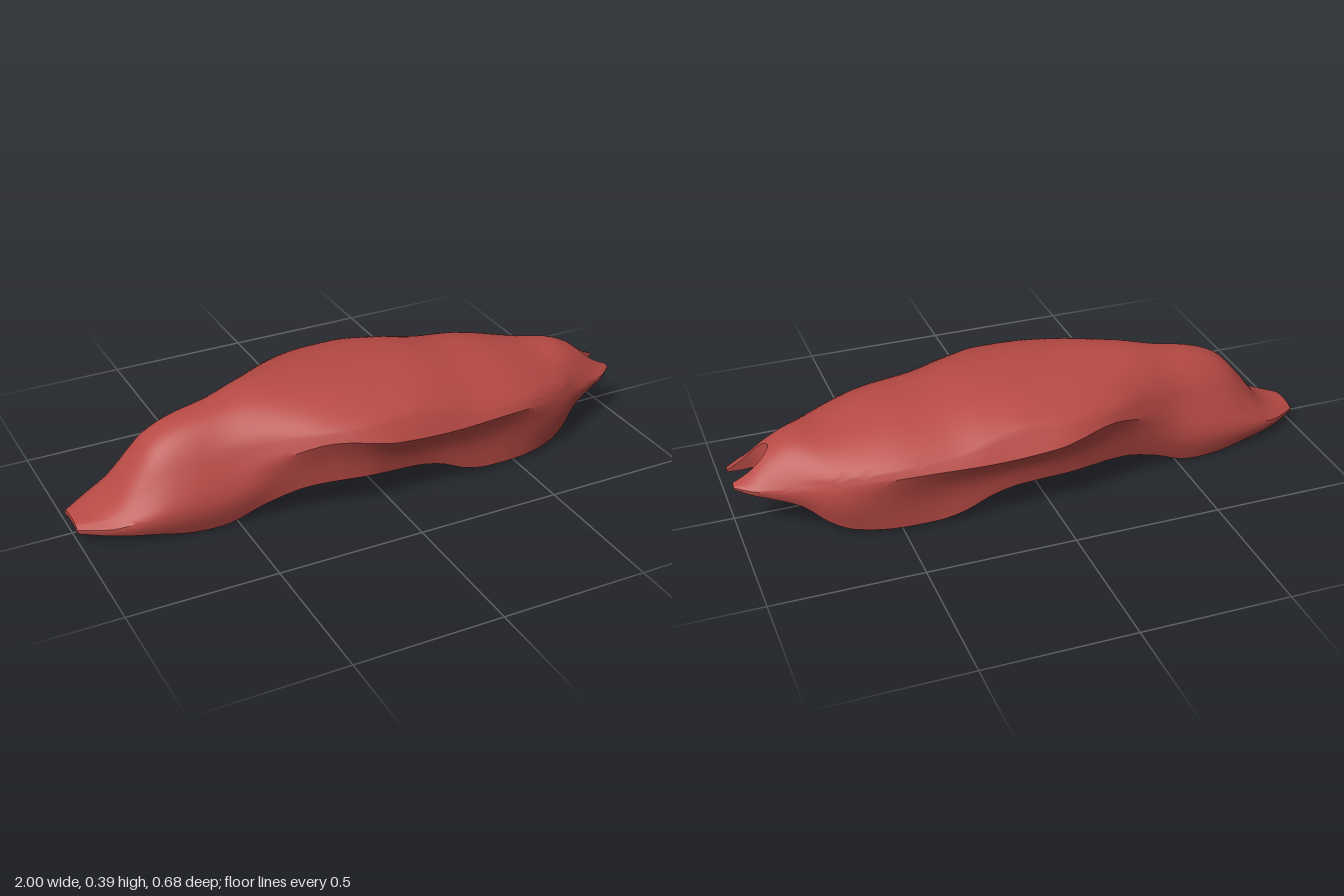
import * as THREE from 'three';
import { toCreasedNormals } from 'three/addons/utils/BufferGeometryUtils.js';

// Smooth curve through [x, value] keys (cubic Hermite)
function rail(...k) {
  const slope = i => {
    const a = k[Math.max(i - 1, 0)], b = k[Math.min(i + 1, k.length - 1)];
    return (b[1] - a[1]) / (b[0] - a[0]);
  };
  return x => {
    let i = 0;
    while (i < k.length - 2 && x > k[i + 1][0]) i++;
    const h = k[i + 1][0] - k[i][0], t = (x - k[i][0]) / h, t2 = t * t, t3 = t2 * t;
    return (2 * t3 - 3 * t2 + 1) * k[i][1] + (t3 - 2 * t2 + t) * h * slope(i)
      + (3 * t2 - 2 * t3) * k[i + 1][1] + (t3 - t2) * h * slope(i + 1);
  };
}

// Rails along the body: spine, upper crease, widest line and bottom rim
const spineY = rail([-1, .065], [-.94, .08], [-.87, .12], [-.8, .21], [-.73, .285], [-.63, .33], [-.5, .355],
  [-.35, .385], [0, .388], [.2, .38], [.35, .355], [.5, .338], [.7, .293], [.8, .285], [.88, .25], [.95, .195], [1, .166]);
const creaseZ = rail([-1, .045], [-.9, .09], [-.8, .115], [-.65, .13], [-.5, .145], [-.38, .185], [-.22, .262],
  [-.08, .292], [.1, .28], [.25, .285], [.4, .285], [.55, .265], [.7, .208], [.8, .15], [.9, .108], [.95, .09], [1, .058]);
const creaseY = rail([-1, .06], [-.9, .085], [-.8, .145], [-.7, .21], [-.55, .25], [-.4, .285], [-.22, .305],
  [0, .32], [.1, .323], [.2, .3], [.33, .262], [.5, .245], [.7, .217], [.8, .2], [.9, .18], [1, .164]);
const wideZ = rail([-1, .066], [-.9, .13], [-.8, .165], [-.7, .18], [-.5, .188], [-.4, .212], [-.25, .27],
  [-.1, .322], [0, .338], [.2, .325], [.4, .305], [.5, .29], [.6, .263], [.7, .223], [.8, .17], [.9, .125], [.95, .106], [1, .066]);
const wideY = rail([-1, .05], [-.9, .062], [-.8, .09], [-.65, .13], [-.5, .165], [-.35, .23], [-.2, .272],
  [0, .25], [.2, .23], [.5, .218], [.7, .182], [.8, .165], [.9, .158], [1, .16]);
const rimZ = rail([-1, .062], [-.9, .124], [-.8, .16], [-.6, .178], [-.45, .19], [-.3, .225], [-.1, .275],
  [0, .282], [.2, .272], [.4, .262], [.55, .25], [.7, .208], [.8, .16], [.9, .12], [.95, .101], [1, .063]);
const rimY = rail([-1, .035], [-.8, .03], [-.65, .004], [-.52, .01], [-.4, .06], [-.28, .1], [-.1, .114],
  [.1, .105], [.2, .08], [.3, .035], [.4, .016], [.65, .02], [.73, .05], [.8, .1], [.9, .13], [1, .152]);
// Hollow of the lower side (negative bulges) and height of the floor above the rim
const hollow = rail([-1, -.12], [-.5, -.12], [-.3, .02], [0, .1], [.3, .12], [.5, .04], [.7, -.1], [1, -.12]);
const floorRise = rail([-1, .012], [-.85, .025], [-.6, .041], [0, .04], [.6, .041], [.87, .032], [.95, .012], [1, .004]);

// Half section: outer skin from spine to rim, then the recessed floor back to the centre
function halfSection(x, notch) {
  const top = spineY(x), cz = creaseZ(x), cy = creaseY(x), wz = wideZ(x), wy = wideY(x), rz = rimZ(x), ry = rimY(x);
  const ring = [];
  for (let i = 0; i <= 12; i++) {
    const z = notch + (cz - notch) * i / 12;
    ring.push([z, cy + (top - cy) * (1 - (z / cz) ** 2.3)]);
  }
  for (let i = 1; i <= 4; i++) {
    const t = i / 4, bulge = .05 * (cy - wy) * t * (1 - t);
    ring.push([cz + (wz - cz) * t + bulge, cy + (wy - cy) * t]);
  }
  const bow = hollow(x) * (wy - ry);
  for (let i = 1; i <= 6; i++) {
    const t = i / 6;
    ring.push([wz + (rz - wz) * t - bow * Math.sin(Math.PI * t) * (1 - t * .4), wy + (ry - wy) * t]);
  }
  // Flat rim, chamfer and floor
  const lip = Math.min(.024, (rz - notch) * .2), edge = rz - 1.8 * lip;
  ring.push([rz - lip, ry]);
  for (let i = 21; i >= 0; i--) ring.push([notch + (edge - notch) * i / 21, ry + floorRise(x)]);
  return ring;
}

function bodyGeometry() {
  // Stations, closer together round the slot's curved end
  const stations = [];
  for (let i = 0; i < 80; i++) stations.push([-1 + 1.87 * i / 80, 0]);
  for (let i = 0; i <= 10; i++) {
    const a = i / 10 * Math.PI / 2;
    stations.push([.93 - .06 * Math.cos(a), .042 * Math.sin(a)]);
  }
  for (let i = 1; i <= 5; i++) stations.push([.93 + .07 * i / 5, .042]);
  const rings = stations.map(([x, n]) => halfSection(x, n).map(([z, y]) => new THREE.Vector3(x, y, z)));
  const pos = [], n = rings[0].length, last = rings.length - 1;
  const area = new THREE.Triangle();

  const tri = (a, b, c, s) => {
    if (area.set(a, b, c).getArea() < 1e-9) return;
    for (const p of s > 0 ? [a, b, c] : [a, c, b]) pos.push(p.x, p.y, p.z * s);
  };
  const quad = (a, b, c, d, s) => { tri(a, b, c, s); tri(a, c, d, s); };

  for (const s of [1, -1]) {
    for (let i = 0; i < last; i++) {
      for (let j = 0; j < n; j++) {
        // The wall at the centre exists only along the slot
        if (j === n - 1 && stations[i + 1][1] === 0) continue;
        const k = (j + 1) % n;
        quad(rings[i][j], rings[i][k], rings[i + 1][k], rings[i + 1][j], s);
      }
    }
    // End faces at the tail and the prongs
    for (let j = 0; j < n / 2 - 1; j++) {
      const a = rings[0], b = rings[last];
      quad(a[j], a[n - 1 - j], a[n - 2 - j], a[j + 1], s);
      quad(b[j], b[j + 1], b[n - 2 - j], b[n - 1 - j], s);
    }
  }
  const geometry = new THREE.BufferGeometry();
  geometry.setAttribute('position', new THREE.Float32BufferAttribute(pos, 3));
  return toCreasedNormals(geometry, .58);
}

export function createModel() {
  const group = new THREE.Group();
  group.name = 'bodyCover';
  const red = new THREE.MeshStandardMaterial({ color: 0xb84a45, side: THREE.DoubleSide });
  red.name = 'mutedRed';
  const body = new THREE.Mesh(bodyGeometry(), red);
  body.name = 'body';
  group.add(body);
  return group;
}
